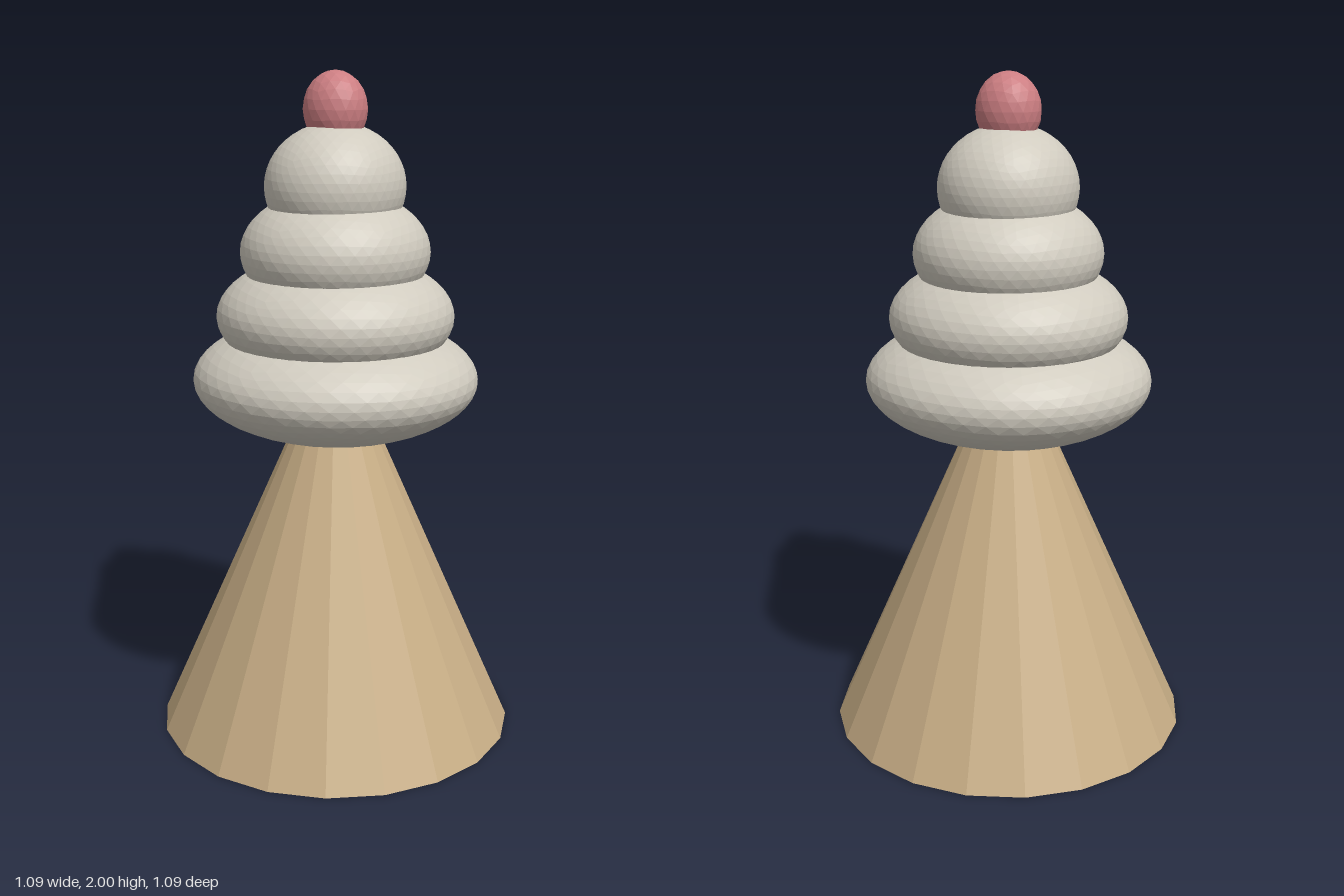
import * as THREE from 'three';

const flat = (name, color) => {
  const m = new THREE.MeshStandardMaterial({ color, flatShading: true });
  m.name = name;
  return m;
};

// Faceted ball with a corner at each pole, stretched to an ellipsoid
function ellipsoid(name, material, detail, y, rx, ry, rz) {
  const geometry = new THREE.IcosahedronGeometry(1, detail);
  geometry.rotateX(-Math.atan((1 + Math.sqrt(5)) / 2));
  geometry.scale(rx, ry, rz);
  const mesh = new THREE.Mesh(geometry, material);
  mesh.name = name;
  mesh.position.y = y;
  return mesh;
}

export function createModel() {
  const wafer = flat('wafer', 0xc8ae86);
  const cream = flat('cream', 0xd0cbbf);
  const red = flat('cherry red', 0xcc7e82);
  const group = new THREE.Group();
  group.name = 'upturnedConeWithCream';

  // Cone standing on its wide end, its tip hidden in the cream
  const height = 1.235;
  const cone = new THREE.Mesh(new THREE.ConeGeometry(0.545, height, 20), wafer);
  cone.name = 'cone';
  cone.position.y = height / 2;
  group.add(cone);

  // Four shrinking layers of cream
  for (let i = 0; i < 4; i++) {
    group.add(ellipsoid(`creamLayer${i + 1}`, cream, 7,
      1.1 + 0.19 * i, 0.432 - 0.0755 * i, 0.185, 0.421 - 0.07 * i));
  }

  // Cherry on top
  group.add(ellipsoid('cherry', red, 3, 1.89, 0.098, 0.11, 0.088));
  return group;
}
